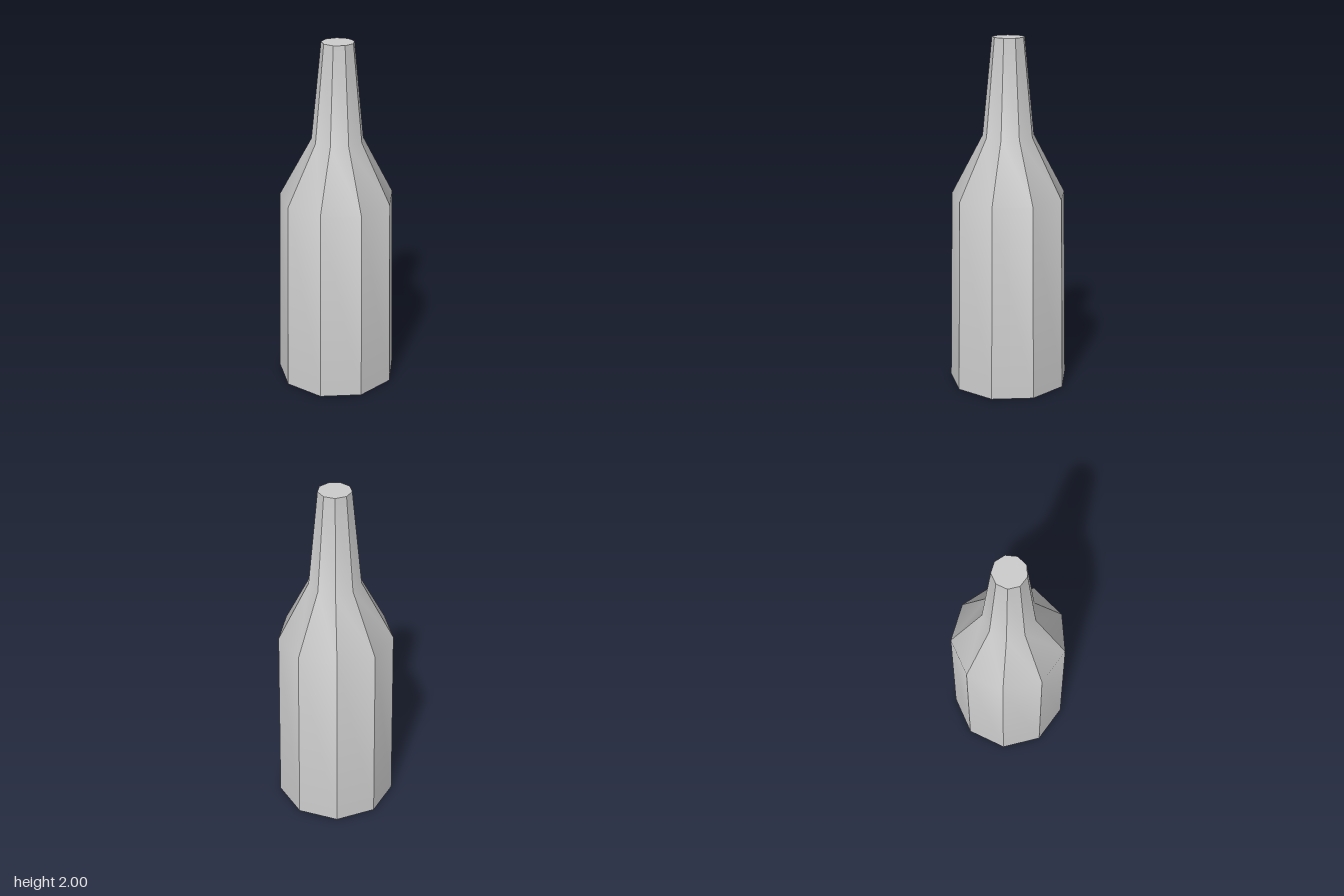
import * as THREE from 'three';
import { toCreasedNormals } from 'three/addons/utils/BufferGeometryUtils.js';

const SIDES = 9;

// Nine-sided lathe with a corner on +x; each ring is centred on its own width.
function facetedLathe(profile) {
  const points = profile.map(([r, y]) => new THREE.Vector2(r, y));
  const geometry = new THREE.LatheGeometry(points, SIDES, Math.PI / 2);
  const pos = geometry.attributes.position;
  const shift = (1 - Math.cos(Math.PI / SIDES)) / 2;
  for (let i = 0; i < pos.count; i++) {
    const r = Math.hypot(pos.getX(i), pos.getZ(i));
    pos.setX(i, pos.getX(i) - r * shift);
  }
  // Smooth up the bottle, sharp around it
  return toCreasedNormals(geometry, THREE.MathUtils.degToRad(31));
}

export function createModel() {
  const group = new THREE.Group();
  group.name = 'bottle';
  const material = new THREE.MeshStandardMaterial({ color: 0xcccccc });

  const addPart = (name, profile) => {
    const mesh = new THREE.Mesh(facetedLathe(profile), material);
    mesh.name = name;
    group.add(mesh);
  };

  // Body, shoulder, neck and flat top
  addPart('bottleBody', [[0.345, 0], [0.326, 1.11], [0.147, 1.45], [0.092, 2], [0, 2]]);
  // Shallow hollow underneath
  addPart('hollowBase', [[0, 0.08], [0.345, 0]]);

  return group;
}
